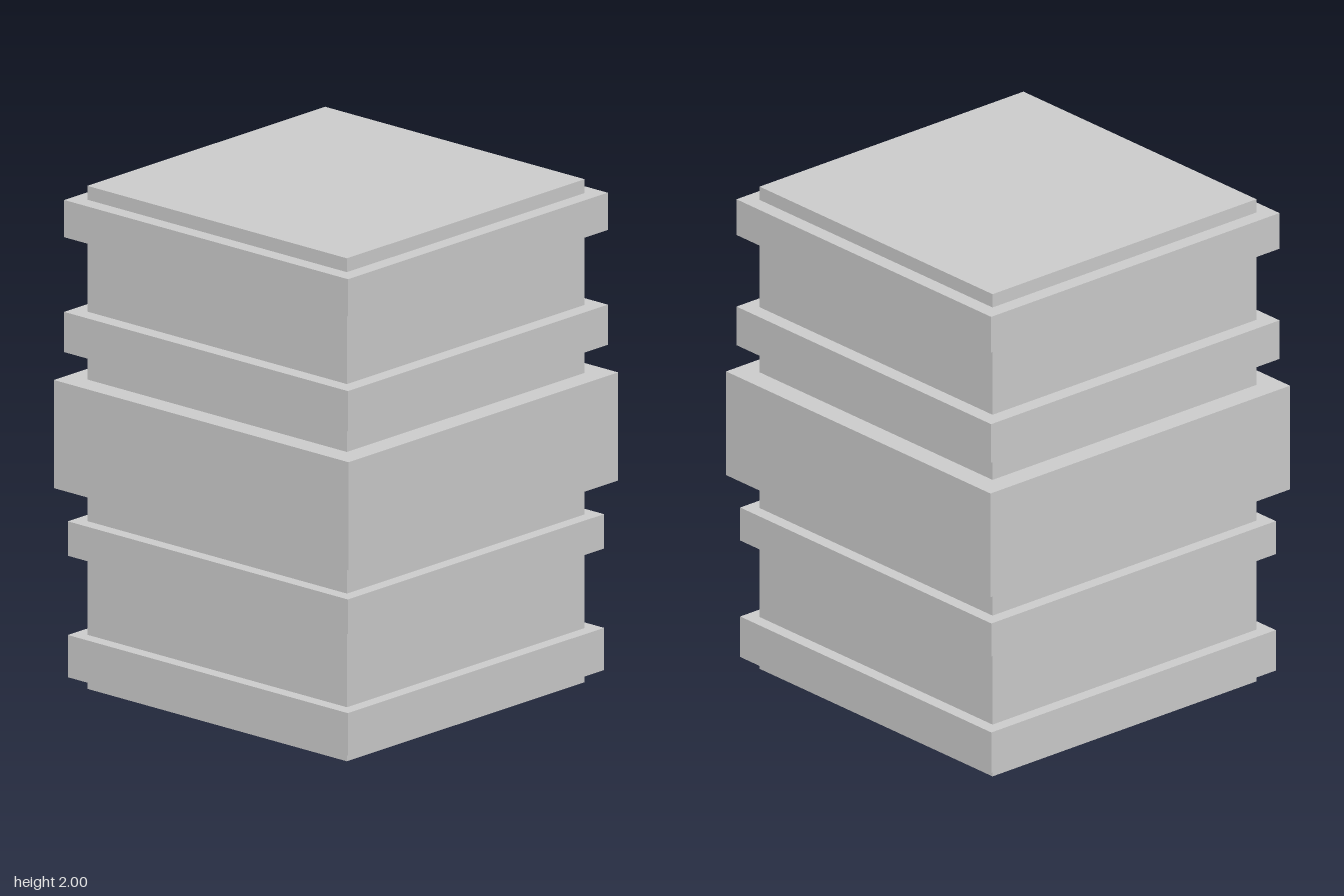
import * as THREE from 'three';

// Square bands around the core: name, bottom y, top y, width
const BANDS = [
  ['baseBand', 0.047, 0.215, 1.437],
  ['lowerBand', 0.53, 0.667, 1.437],
  ['middleBlock', 0.8, 1.23, 1.513],
  ['upperBand', 1.34, 1.5, 1.457],
  ['topBand', 1.797, 1.945, 1.457],
];

export function createModel() {
  const model = new THREE.Group();
  model.name = 'bandedCrate';
  const material = new THREE.MeshStandardMaterial({ color: 0xcccccc, flatShading: true });

  const addBlock = (name, bottom, top, width) => {
    const mesh = new THREE.Mesh(new THREE.BoxGeometry(width, top - bottom, width), material);
    mesh.name = name;
    mesh.position.y = (bottom + top) / 2;
    model.add(mesh);
  };

  // Full-height core with the bands wrapped around it
  addBlock('core', 0, 2, 1.333);
  for (const band of BANDS) addBlock(...band);

  return model;
}
